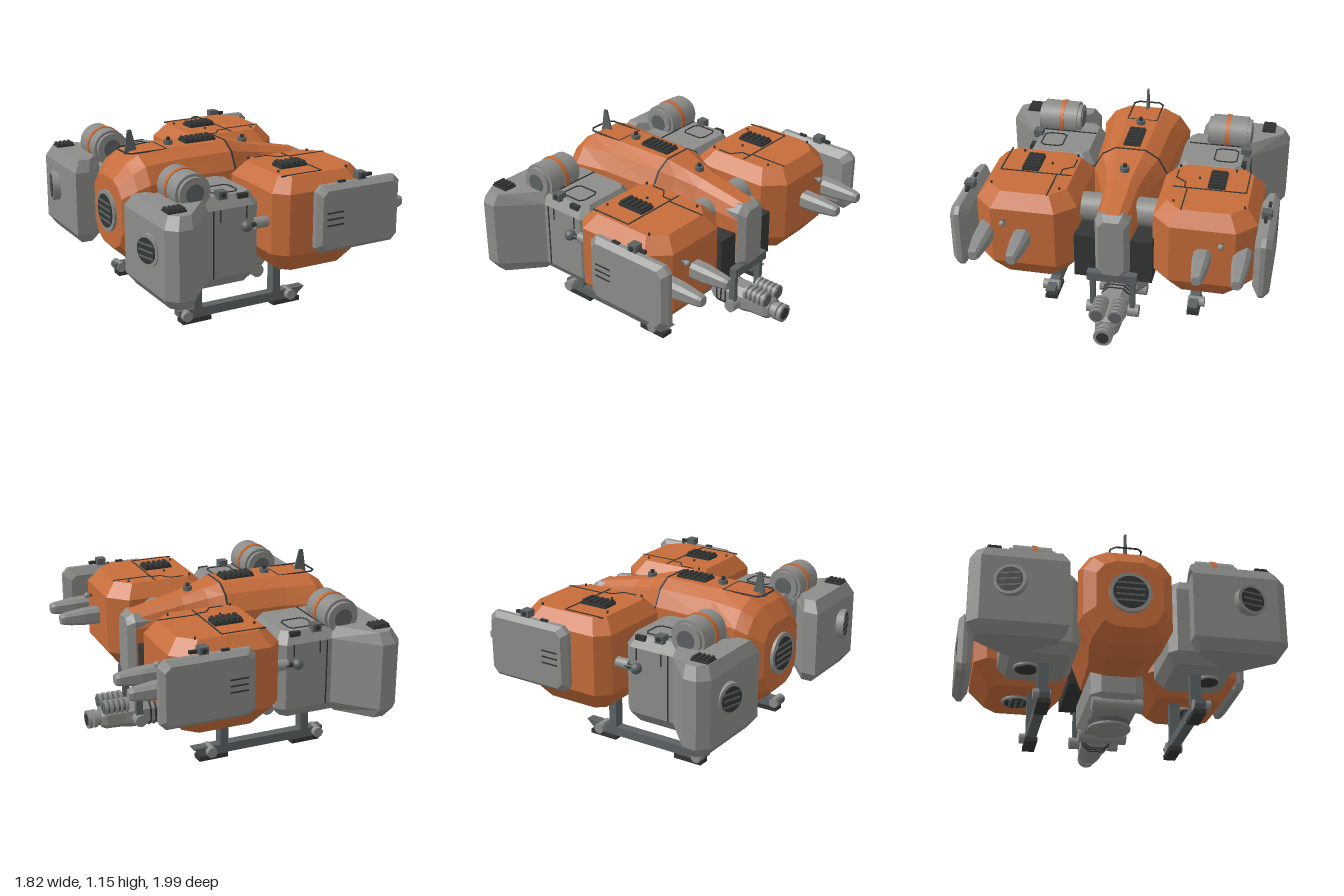
import * as THREE from 'three';

const flat = (color) => new THREE.MeshStandardMaterial({ color });
const M = { orange: flat(0xc66c3a), grey: flat(0x8c8c8a), steel: flat(0x5c6264), dark: flat(0x343636) };
for (const k in M) M[k].name = { orange: 'orange paint', grey: 'grey armour', steel: 'steel', dark: 'dark metal' }[k];

// Faceted skin over matching closed rings of points, with end caps, always facing outward
function loft(rings) {
  const tris = [], n = rings[0].length;
  const mid = (r) => r.reduce((a, p) => a.add(p), new THREE.Vector3()).divideScalar(n);
  for (let k = 0; k < rings.length - 1; k++) for (let i = 0; i < n; i++) {
    const j = (i + 1) % n, a = rings[k], b = rings[k + 1];
    tris.push([a[i], a[j], b[j]], [a[i], b[j], b[i]]);
  }
  const first = rings[0], last = rings[rings.length - 1], c0 = mid(first), c1 = mid(last);
  for (let i = 0; i < n; i++) {
    const j = (i + 1) % n;
    tris.push([c0, first[j], first[i]], [c1, last[i], last[j]]);
  }
  let vol = 0;
  for (const [a, b, c] of tris) vol += a.clone().sub(c0).dot(b.clone().sub(c0).cross(c.clone().sub(c0)));
  const pos = [];
  for (const [a, b, c] of tris) for (const p of vol > 0 ? [a, b, c] : [a, c, b]) pos.push(p.x, p.y, p.z);
  const g = new THREE.BufferGeometry();
  g.setAttribute('position', new THREE.Float32BufferAttribute(pos, 3));
  g.computeVertexNormals();
  return g;
}

// Outline swept along an axis; each layer is [position, inset]
function prism(outline, axis, layers, s = 1) {
  const us = outline.map((p) => p[0]), vs = outline.map((p) => p[1]);
  const u0 = Math.min(...us), u1 = Math.max(...us), v0 = Math.min(...vs), v1 = Math.max(...vs);
  const cu = (u0 + u1) / 2, cv = (v0 + v1) / 2;
  return loft(layers.map(([t, d]) => outline.map(([u, v]) => {
    const a = cu + (u - cu) * (1 - 2 * d / (u1 - u0)), b = cv + (v - cv) * (1 - 2 * d / (v1 - v0));
    if (axis === 'x') return new THREE.Vector3(t, a, b * s);
    if (axis === 'y') return new THREE.Vector3(a, t, b * s);
    return new THREE.Vector3(a, b, t * s);
  })));
}

// Rectangle with cut corners; c1 cuts the low-u side, c2 the high-u side
const cut = (u0, u1, v0, v1, c1, c2 = c1) => [[u0 + c1, v0], [u1 - c2, v0], [u1, v0 + c2], [u1, v1 - c2],
  [u1 - c2, v1], [u0 + c1, v1], [u0, v1 - c1], [u0, v0 + c1]];

export function createModel() {
  const model = new THREE.Group();
  model.name = 'industrialHovercraft';
  const add = (name, geo, mat, x = 0, y = 0, z = 0) => {
    const m = new THREE.Mesh(geo, mat);
    m.name = name;
    m.position.set(x, y, z);
    model.add(m);
    return m;
  };
  const box = (name, mat, w, h, d, x, y, z) => add(name, new THREE.BoxGeometry(w, h, d), mat, x, y, z);
  const cyl = (name, mat, axis, r, len, x, y, z, r2 = r) => {
    const g = new THREE.CylinderGeometry(r2, r, len, 24);
    if (axis === 'x') g.rotateZ(-Math.PI / 2);
    if (axis === 'z') g.rotateX(Math.PI / 2);
    return add(name, g, mat, x, y, z);
  };
  // Thin seam lines lying on a top surface
  const seam = (name, y, pts, s = 1) => {
    for (let i = 0; i < pts.length - 1; i++) {
      const [x0, z0] = pts[i], [x1, z1] = pts[i + 1], dx = x1 - x0, dz = (z1 - z0) * s;
      box(name, M.dark, Math.hypot(dx, dz) + 0.006, 0.008, 0.008, (x0 + x1) / 2, y, s * (z0 + z1) / 2)
        .rotation.y = -Math.atan2(dz, dx);
    }
  };
  const vent = (name, w, d, x, y, z, count = 5) => {
    box(name, M.dark, w, 0.02, d, x, y, z);
    for (let i = 0; i < count; i++)
      box(name + 'Slat', M.dark, w / count * 0.55, 0.02, d * 0.9, x - w / 2 + (i + 0.5) * w / count, y + 0.014, z);
  };

  // Central hull: x, half width, top, bottom
  const half = [[0.4, 1], [0.76, 0.93], [1, 0.79], [1, 0.28], [0.76, 0.08], [0.4, 0]];
  const section = [...half, ...half.map(([z, y]) => [-z, y]).reverse()];
  const hullRing = ([x, w, t, b]) => section.map(([z, y]) => new THREE.Vector3(x, b + (t - b) * y, z * w));
  add('hull', loft([[-0.8, 0.21, 0.87, 0.42], [-0.72, 0.28, 0.97, 0.34], [-0.64, 0.3, 1.02, 0.29],
    [-0.42, 0.26, 1.03, 0.27], [0, 0.24, 1.03, 0.27], [0.1, 0.19, 1.0, 0.3], [0.25, 0.14, 0.96, 0.37],
    [0.58, 0.11, 0.89, 0.44]].map(hullRing)), M.orange);
  add('hullSeam', loft([[-0.012, 0.247, 1.034, 0.266], [-0.002, 0.247, 1.034, 0.266]].map(hullRing)), M.dark);
  add('nose', prism(cut(0.44, 0.89, -0.11, 0.11, 0.045), 'x', [[0.45, 0.005], [0.582, 0], [0.63, 0.03]]), M.grey);
  box('innerFrame', M.dark, 0.5, 0.3, 0.5, 0.32, 0.555, 0);
  seam('hullPanel', 1.027, [[-0.67, -0.1], [-0.7, -0.07], [-0.7, 0.07], [-0.67, 0.1], [-0.43, 0.1], [-0.43, -0.1], [-0.67, -0.1]]);
  vent('hullVent', 0.22, 0.11, -0.16, 1.035, 0, 6);
  for (const [x, y] of [[-0.37, 1.04], [0.18, 0.99]]) {
    cyl('hullKnob', M.steel, 'y', 0.03, 0.03, x, y, 0);
    cyl('hullKnobTip', M.dark, 'y', 0.013, 0.03, x, y + 0.02, 0);
  }
  add('dorsalFin', prism([[-0.68, 1], [-0.59, 1], [-0.63, 1.155], [-0.655, 1.155]], 'z', [[-0.006, 0], [0.006, 0]]), M.steel);
  cyl('rearVentRing', M.grey, 'x', 0.135, 0.04, -0.8, 0.65, 0);
  cyl('rearVentCore', M.dark, 'x', 0.11, 0.01, -0.82, 0.65, 0);
  for (const d of [-0.06, -0.02, 0.02, 0.06])
    box('rearVentSlat', M.steel, 0.012, 0.012, 0.18, -0.824, 0.65 + d, 0);

  // Belly housing with its turntable
  add('belly', prism(cut(-0.4, 0.32, -0.17, 0.17, 0.06), 'y', [[0.09, 0.04], [0.16, 0], [0.32, 0]]), M.grey);
  cyl('bellyTurntable', M.steel, 'y', 0.12, 0.05, -0.05, 0.075, 0, 0.14);
  cyl('bellyTurntablePlate', M.grey, 'y', 0.14, 0.015, -0.05, 0.05, 0);
  for (const x of [-0.34, 0.22]) cyl('bellyRoller', M.grey, 'z', 0.045, 0.32, x, 0.1, 0);

  // Gun slung under the nose
  add('gunBody', prism(cut(0.095, 0.27, -0.09, 0.09, 0.045), 'x',
    [[0.35, 0.025], [0.39, 0], [0.6, 0], [0.66, 0.01], [0.78, 0.015], [0.81, 0.03]]), M.grey);
  for (const x of [0.41, 0.445, 0.48])
    add('gunBand', prism(cut(0.091, 0.274, -0.094, 0.094, 0.045), 'x', [[x, 0], [x + 0.01, 0]]), M.dark);
  cyl('gunNeck', M.grey, 'x', 0.05, 0.06, 0.83, 0.18, 0);
  for (const x of [0.85, 0.885]) cyl('gunMuzzle', M.grey, 'x', 0.06, 0.025, x, 0.18, 0);
  cyl('gunBore', M.dark, 'x', 0.04, 0.006, 0.898, 0.18, 0);
  box('gunMountBeam', M.steel, 0.1, 0.06, 0.32, 0.57, 0.44, 0);
  add('gunBrace', new THREE.TubeGeometry(new THREE.LineCurve3(new THREE.Vector3(0.36, 0.35, 0),
    new THREE.Vector3(0.43, 0.25, 0)), 1, 0.025, 8), M.grey);

  for (const s of [1, -1]) {
    // Gun brackets and recoil tubes
    box('gunBracket', M.steel, 0.045, 0.28, 0.03, 0.58, 0.29, s * 0.13);
    cyl('gunPivot', M.grey, 'z', 0.04, 0.07, 0.58, 0.18, s * 0.135);
    cyl('recoilTube', M.steel, 'x', 0.04, 0.17, 0.72, 0.27, s * 0.06);
    for (let i = 0; i < 5; i++) cyl('recoilRib', M.grey, 'x', 0.05, 0.018, 0.65 + i * 0.035, 0.27, s * 0.06);

    // Front pod
    add('frontPod', prism(cut(-0.08, 0.62, 0.24, 0.89, 0.08, 0.12), 'y',
      [[0.34, 0.11], [0.48, 0], [0.87, 0], [0.96, 0.075]], s), M.orange);
    cyl('frontAxle', M.grey, 'z', 0.092, 0.2, 0.33, 0.78, s * 0.2);
    vent('podVent', 0.19, 0.11, 0.175, 0.968, s * 0.6);
    seam('podSeam', 0.96, [[0.0, 0.79], [0.285, 0.79], [0.285, 0.33]], s);
    seam('podSeam', 0.96, [[0.08, 0.335], [0.17, 0.335], [0.22, 0.4], [0.285, 0.4]], s);
    seam('podSeam', 0.96, [[0.285, 0.42], [0.545, 0.42]], s);
    for (const [x, z] of [[0.03, 0.34], [0.46, 0.36], [0.46, 0.8], [0.16, 0.48], [0.03, 0.7]])
      cyl('podBolt', M.dark, 'y', 0.007, 0.016, x, 0.965, s * z);
    cyl('podHatchRing', M.grey, 'y', 0.095, 0.02, 0.27, 0.335, s * 0.58);
    cyl('podHatchCore', M.dark, 'y', 0.08, 0.01, 0.27, 0.324, s * 0.58);
    for (const d of [-0.04, 0, 0.04]) box('podHatchSlat', M.steel, 0.13, 0.01, 0.018, 0.27, 0.319, s * 0.58 + d);
    for (const z of [0.57, 0.81])
      add('prong', prism(cut(0.625, 0.74, z - 0.055, z + 0.055, 0.025), 'x',
        [[0.55, 0], [0.72, 0.004], [0.86, 0.02], [0.885, 0.028]], s), M.grey);
    cyl('podLampStem', M.steel, 'x', 0.012, 0.04, 0.63, 0.79, s * 0.685);
    add('podLamp', new THREE.SphereGeometry(0.02, 12, 8), M.grey, 0.655, 0.79, s * 0.685);

    // Outer armour plate
    add('armourPlate', prism(cut(0.14, 0.75, 0.49, 0.92, 0.04), 'z',
      [[0.89, 0.05], [0.93, 0], [0.96, 0], [0.995, 0.03]], s), M.grey);
    for (const y of [0.67, 0.71, 0.75]) box('armourSlot', M.dark, 0.12, 0.01, 0.006, 0.26, y, s * 0.994);
    box('armourSensor', M.steel, 0.06, 0.045, 0.06, 0.47, 0.945, s * 0.935);
    cyl('armourSensorEye', M.dark, 'z', 0.016, 0.01, 0.47, 0.945, s * 0.967);
    box('armourSensorArm', M.dark, 0.05, 0.02, 0.02, 0.53, 0.94, s * 0.935);
    box('armourClip', M.dark, 0.05, 0.015, 0.02, 0.33, 0.925, s * 0.945);

    // Rear pod, its couplings and roof details
    add('rearPod', prism(cut(-0.64, -0.12, 0.28, 0.75, 0.05), 'y',
      [[0.3, 0.05], [0.37, 0], [0.8, 0], [0.875, 0.045]], s), M.grey);
    cyl('rearAxle', M.steel, 'z', 0.09, 0.14, -0.3, 0.68, s * 0.25);
    for (const z of [0.5, 0.75]) cyl('coupling', M.grey, 'x', 0.035, 0.12, -0.11, 0.68, s * z);
    add('couplingBall', new THREE.SphereGeometry(0.036, 16, 12), M.steel, -0.235, 0.68, s * 0.775);
    cyl('couplingRod', M.dark, 'x', 0.015, 0.08, -0.19, 0.68, s * 0.77);
    seam('rearPodPanel', 0.876, [[-0.38, 0.52], [-0.25, 0.52], [-0.23, 0.55], [-0.23, 0.64], [-0.25, 0.67],
      [-0.38, 0.67], [-0.4, 0.64], [-0.4, 0.55], [-0.38, 0.52]], s);
    seam('rearPodSeam', 0.876, [[-0.45, 0.33], [-0.45, 0.7]], s);
    box('rearPodSideSeam', M.dark, 0.008, 0.43, 0.008, -0.45, 0.585, s * 0.75);
    for (const x of [-0.4, -0.22]) box('rearPodSideSeam', M.dark, 0.008, 0.08, 0.008, x, 0.76, s * 0.75);
    box('rearSensor', M.steel, 0.06, 0.05, 0.06, -0.38, 0.885, s * 0.715);
    cyl('rearSensorEye', M.dark, 'z', 0.016, 0.01, -0.38, 0.887, s * 0.747);
    box('rearClip', M.dark, 0.07, 0.03, 0.03, -0.235, 0.86, s * 0.72);
    cyl('rearHatchRing', M.grey, 'y', 0.085, 0.02, -0.37, 0.297, s * 0.58);
    cyl('rearHatchCore', M.dark, 'y', 0.07, 0.01, -0.37, 0.286, s * 0.58);

    // Swept tail block with exhaust
    add('tailBlock', prism([[-0.86, 0.38], [-0.76, 0.38], [-0.475, 0.68], [-0.475, 0.74], [-0.71, 0.985],
      [-0.8, 0.985], [-0.86, 0.92]], 'y', [[0.3, 0.05], [0.37, 0], [0.8, 0], [0.875, 0.04]], s), M.grey);
    vent('tailVent', 0.12, 0.09, -0.755, 0.876, s * 0.84, 4);
    const exhaust = new THREE.Group();
    exhaust.name = 'exhaust';
    exhaust.position.set(-0.868, 0.63, s * 0.74);
    exhaust.rotation.y = s * 0.26;
    exhaust.add(cyl('exhaustRing', M.grey, 'x', 0.1, 0.05, 0, 0, 0), cyl('exhaustCore', M.dark, 'x', 0.08, 0.01, -0.024, 0, 0));
    for (const d of [-0.04, 0, 0.04]) exhaust.add(box('exhaustSlat', M.steel, 0.01, 0.012, 0.13, -0.027, d, 0));
    model.add(exhaust);

    // Roof drum with painted band
    cyl('drum', M.grey, 'z', 0.118, 0.24, -0.565, 0.92, s * 0.59);
    cyl('drumCaps', M.grey, 'z', 0.1, 0.29, -0.565, 0.92, s * 0.59);
    cyl('drumHub', M.steel, 'z', 0.06, 0.3, -0.565, 0.92, s * 0.59);
    cyl('drumBand', M.orange, 'z', 0.124, 0.03, -0.565, 0.92, s * 0.577);

    // Landing skid
    add('skidRail', prism([[-0.54, 0.03], [0.29, 0.03], [0.36, 0.09], [-0.565, 0.09], [-0.565, 0.055]], 'z',
      [[0.45, 0], [0.515, 0]], s), M.steel);
    for (const [strut, roller, foot] of [[-0.43, -0.52, -0.44], [0.145, 0.24, 0.22]]) {
      box('skidStrut', M.steel, 0.055, 0.28, 0.07, strut, 0.22, s * 0.483);
      cyl('skidRoller', M.grey, 'z', 0.034, 0.11, roller, 0.06, s * 0.497);
      box('skidFoot', M.dark, 0.2, 0.03, 0.08, foot, 0.015, s * 0.483);
    }
  }
  return model;
}
